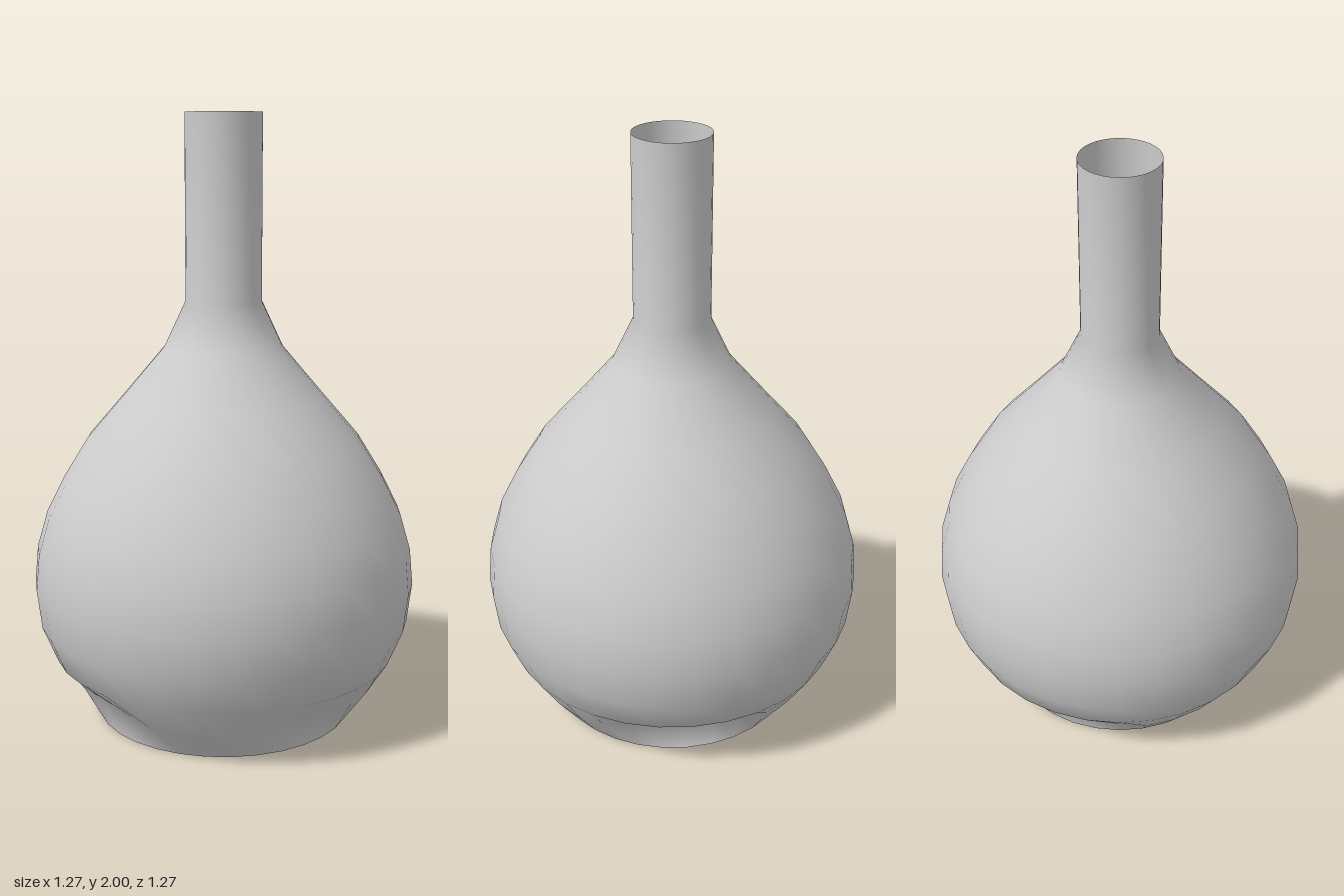
import * as THREE from 'three';
import { mergeVertices } from 'three/addons/utils/BufferGeometryUtils.js';

export function createModel() {
  const group = new THREE.Group();
  group.name = 'flask';
  const material = new THREE.MeshStandardMaterial({ color: 0xcccccc, side: THREE.DoubleSide });

  // Thin open shell: foot, round belly, tapering shoulder, straight neck (radius, height)
  const profile = [
    [0.427, 0], [0.5, 0.1], [0.57, 0.21], [0.62, 0.33], [0.636, 0.46], [0.625, 0.58],
    [0.59, 0.7], [0.53, 0.82], [0.45, 0.95], [0.33, 1.09], [0.195, 1.25], [0.125, 1.4], [0.125, 2],
  ].map(([r, y]) => new THREE.Vector2(r, y));
  let geometry = new THREE.LatheGeometry(profile, 32);

  // Press the ring above the foot flat on its four sides, deepest at the back
  const pos = geometry.attributes.position;
  for (let i = 0; i < pos.count; i++) {
    if (Math.abs(pos.getY(i) - 0.1) > 0.01) continue;
    pos.setX(i, THREE.MathUtils.clamp(pos.getX(i), -0.444, 0.444));
    pos.setZ(i, THREE.MathUtils.clamp(pos.getZ(i), -0.4, 0.444));
  }

  // Weld the seam so the shading is smooth all round
  geometry.deleteAttribute('uv');
  geometry.deleteAttribute('normal');
  geometry = mergeVertices(geometry, 1e-4);
  geometry.computeVertexNormals();

  const body = new THREE.Mesh(geometry, material);
  body.name = 'flaskBody';
  group.add(body);
  return group;
}
